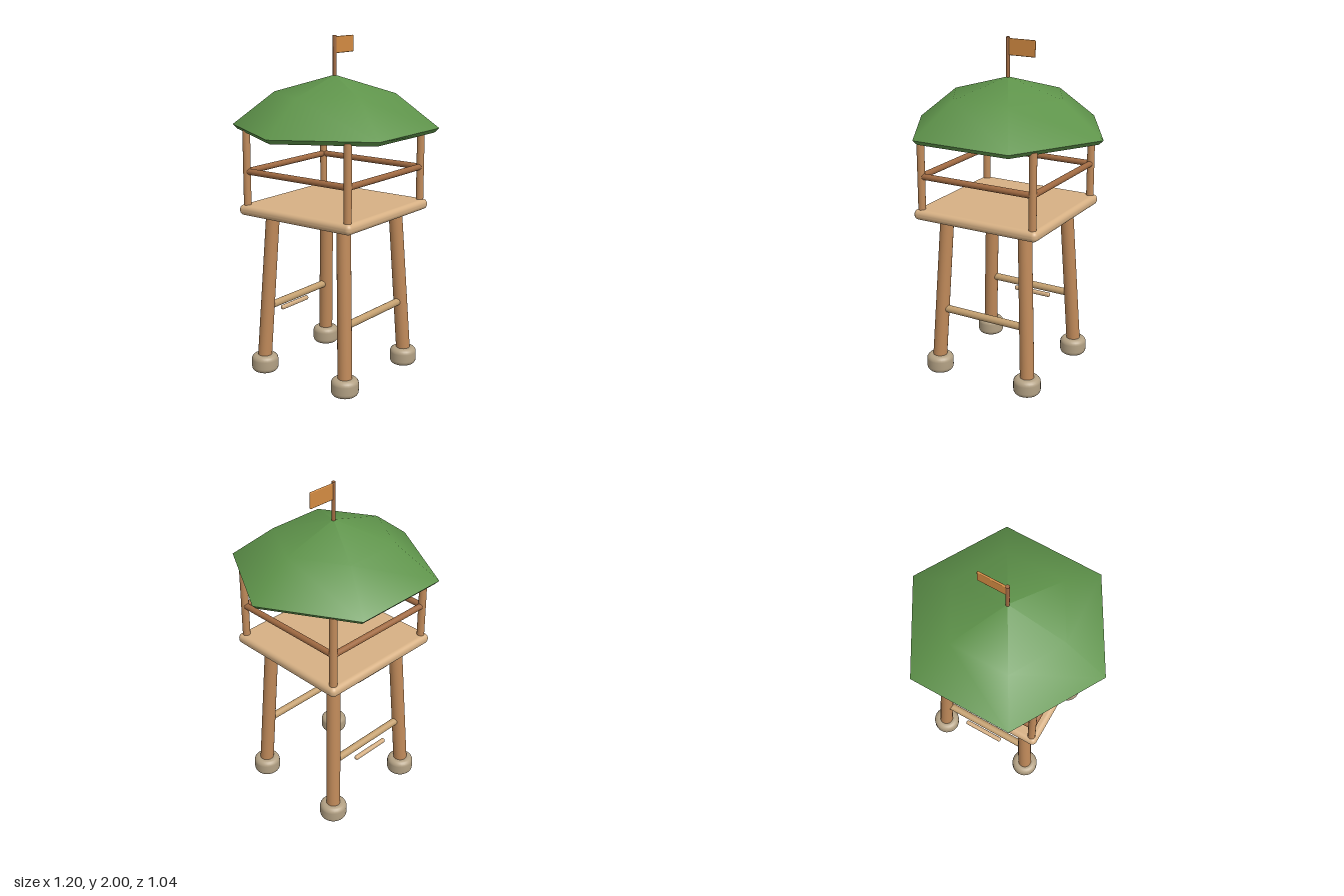
import * as THREE from 'three';
import { RoundedBoxGeometry } from 'three/addons/geometries/RoundedBoxGeometry.js';

const mat = (name, color, side = THREE.FrontSide) => {
  const m = new THREE.MeshStandardMaterial({ color, side });
  m.name = name;
  return m;
};

export function createModel() {
  const roofGreen = mat('roof green', 0x5f944b);
  const timber = mat('timber', 0xc08a5a);
  const darkWood = mat('dark wood', 0xa06a42);
  const plank = mat('plank', 0xd6b084);
  const beam = mat('beam', 0xc4a070);
  const stone = mat('stone', 0xb3a184);
  const flagOrange = mat('flag orange', 0xd38b42);

  const model = new THREE.Group();
  model.name = 'watchtower';
  const add = (name, geometry, material, x = 0, y = 0, z = 0) => {
    const mesh = new THREE.Mesh(geometry, material);
    mesh.name = name;
    mesh.position.set(x, y, z);
    model.add(mesh);
    return mesh;
  };

  // Round bar between two points
  const bar = (name, a, b, r0, r1, material) => {
    const p = new THREE.Vector3(...a), q = new THREE.Vector3(...b);
    const d = q.clone().sub(p);
    const mesh = add(name, new THREE.CylinderGeometry(r1, r0, d.length(), 20), material);
    mesh.position.copy(p).add(q).multiplyScalar(0.5);
    mesh.quaternion.setFromUnitVectors(new THREE.Vector3(0, 1, 0), d.normalize());
    return mesh;
  };

  // Surface of revolution from bottom to top, six-sided for the roof
  const lathe = (points, sides) =>
    new THREE.LatheGeometry(points.map(p => new THREE.Vector2(...p)), sides, Math.PI / 2);

  // Rounded stone foot
  const footProfile = [[0, 0], [0.05, 0]];
  for (let i = 1; i <= 5; i++) {
    const t = i / 5 * Math.PI / 2;
    footProfile.push([0.05 + 0.03 * Math.sin(t), 0.03 - 0.03 * Math.cos(t)]);
  }
  for (let i = 0; i <= 5; i++) {
    const t = i / 5 * Math.PI / 2;
    footProfile.push([0.05 + 0.03 * Math.cos(t), 0.075 + 0.03 * Math.sin(t)]);
  }
  footProfile.push([0, 0.105]);
  const foot = lathe(footProfile, 28);

  // Four corners: foot, leaning leg and roof post
  for (const sx of [-1, 1]) for (const sz of [-1, 1]) {
    add('foot', foot, stone, sx * 0.3, 0, sz * 0.3);
    bar('leg', [sx * 0.302, 0.06, sz * 0.302], [sx * 0.256, 0.99, sz * 0.256], 0.042, 0.04, timber);
    bar('roofPost', [sx * 0.36, 1.0, sz * 0.36], [sx * 0.36, 1.47, sz * 0.36], 0.022, 0.022, timber);
  }

  // Platform
  add('platform', new RoundedBoxGeometry(0.8, 0.062, 0.8, 4, 0.028), plank, 0, 1.004, 0);

  // Railings on all sides, cross beams at front and back
  for (const s of [-1, 1]) {
    bar('railing', [-0.36, 1.23, s * 0.36], [0.36, 1.23, s * 0.36], 0.018, 0.018, darkWood);
    bar('railing', [s * 0.36, 1.23, -0.36], [s * 0.36, 1.23, 0.36], 0.018, 0.018, darkWood);
    bar('crossBeam', [-0.27, 0.405, s * 0.285], [0.27, 0.405, s * 0.285], 0.022, 0.022, beam);
  }

  // Ladder rungs at the back
  for (const y of [0.345, 0.915]) {
    add('rung', new RoundedBoxGeometry(0.25, 0.026, 0.026, 3, 0.01), plank, 0, y, -0.312);
  }

  // Six-sided roof: canopy, bevelled rim and underside
  add('roofCanopy', lathe([[0.6, 1.482], [0.35, 1.677], [0, 1.777]], 6), roofGreen);
  add('roofRim', lathe([[0.573, 1.456], [0.6, 1.482]], 6), roofGreen);
  add('roofUnderside', lathe([[0, 1.456], [0.573, 1.456]], 6), roofGreen);

  // Flagpole and flag
  bar('flagpole', [0, 1.74, 0], [0, 2, 0], 0.011, 0.011, darkWood);
  add('flag', new RoundedBoxGeometry(0.17, 0.095, 0.012, 2, 0.005), flagOrange, 0.09, 1.945, 0);

  return model;
}
